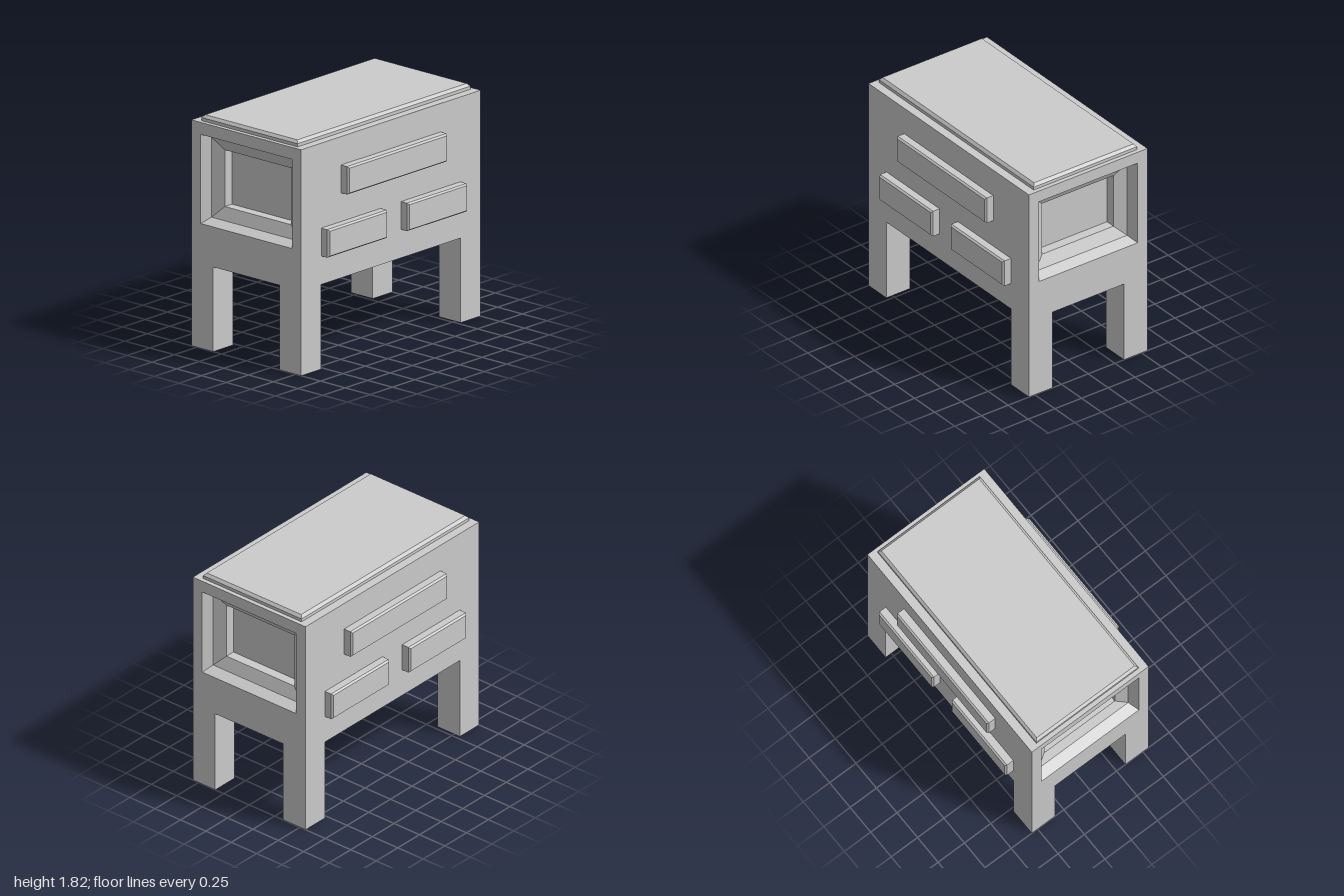
import * as THREE from 'three';

const material = new THREE.MeshStandardMaterial({ color: 0xcccccc, flatShading: true });

// Skin a run of rectangles [halfWidth, bottom, top, z], closing the last one
function loft(rings) {
  const pos = [];
  const corners = rings.map(([w, b, t, z]) => [[-w, b, z], [w, b, z], [w, t, z], [-w, t, z]]);
  const quad = (a, b, c, d) => pos.push(...a, ...b, ...c, ...a, ...c, ...d);
  for (let r = 0; r < corners.length - 1; r++) {
    const p = corners[r], q = corners[r + 1];
    for (let i = 0; i < 4; i++) {
      const j = (i + 1) % 4;
      quad(p[i], p[j], q[j], q[i]);
    }
  }
  quad(...corners[corners.length - 1]);
  const geo = new THREE.BufferGeometry();
  geo.setAttribute('position', new THREE.Float32BufferAttribute(pos, 3));
  geo.computeVertexNormals();
  return geo;
}

function add(parent, name, geo) {
  const mesh = new THREE.Mesh(geo, material);
  mesh.name = name;
  parent.add(mesh);
  return mesh;
}

export function createModel() {
  const model = new THREE.Group();
  model.name = 'cabinet';
  const D = 0.555, bottom = 0.665, top = 1.775;

  // Body halves, each ending in a stepped recess
  const half = loft([
    [D, bottom, top, 0],
    [D, bottom, top, 1],
    [0.463, 0.98, 1.68, 1],
    [0.428, 1.017, 1.645, 0.915],
    [0.335, 1.11, 1.555, 0.87],
    [0.335, 1.11, 1.555, 0.79],
  ]);
  for (const s of [1, -1]) {
    add(model, s > 0 ? 'bodyLeft' : 'bodyRight', half).rotation.y = s * Math.PI / 2;
  }

  // Corner legs
  const leg = new THREE.BoxGeometry(0.222, bottom, 0.22);
  for (const x of [-1, 1]) for (const z of [-1, 1]) {
    const name = (z > 0 ? 'front' : 'back') + (x > 0 ? 'Left' : 'Right') + 'Leg';
    add(model, name, leg).position.set(x * 0.889, bottom / 2, z * 0.445);
  }

  // Bevelled top slab
  const slab = loft([
    [0.965, -0.485, 0.485, 0],
    [0.965, -0.485, 0.485, 0.025],
    [0.945, -0.465, 0.465, 0.047],
  ]);
  const topSlab = add(model, 'topSlab', slab);
  topSlab.rotation.x = -Math.PI / 2;
  topSlab.position.y = top;

  // Raised drawer fronts on both long sides
  const panel = (w) => loft([
    [w, -0.11, 0.11, 0],
    [w, -0.11, 0.11, 0.06],
    [w - 0.012, -0.098, 0.098, 0.075],
  ]);
  const wide = panel(0.555), narrow = panel(0.331);
  for (const side of ['front', 'back']) {
    const group = new THREE.Group();
    group.name = side + 'Drawers';
    if (side === 'back') group.rotation.y = Math.PI;
    add(group, 'upperDrawer', wide).position.set(0, 1.442, D);
    for (const x of [-1, 1]) add(group, 'lowerDrawer', narrow).position.set(x * 0.445, 0.998, D);
    model.add(group);
  }
  return model;
}
